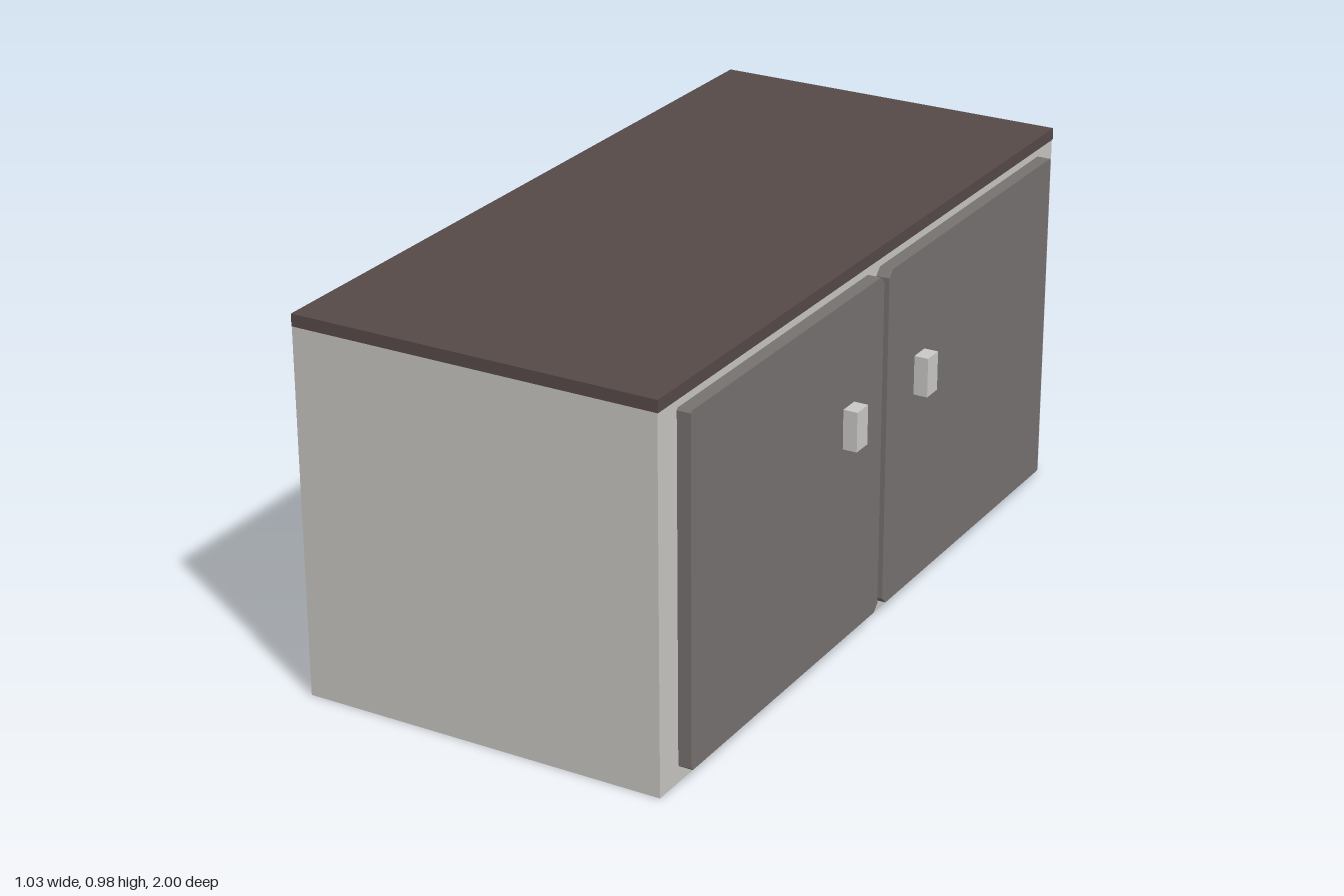
import * as THREE from 'three';

const mat = (name, color) => {
  const m = new THREE.MeshStandardMaterial({ color });
  m.name = name;
  return m;
};

// Box given by its minimum and maximum corners
function box(name, material, min, max) {
  const size = max.map((v, i) => v - min[i]);
  const mesh = new THREE.Mesh(new THREE.BoxGeometry(...size), material);
  mesh.position.set(...max.map((v, i) => (v + min[i]) / 2));
  mesh.name = name;
  return mesh;
}

// Door panel: larger corner cuts on the meeting edge, tiny ones on the outer edge
function doorGeometry(side) {
  const inner = 0.013, outer = 0.918, y0 = 0.04, y1 = 0.925, c = 0.018, d = 0.005;
  const points = [
    [inner + c, y0], [outer - d, y0], [outer, y0 + d], [outer, y1 - d],
    [outer - d, y1], [inner + c, y1], [inner, y1 - c], [inner, y0 + c],
  ].map(([z, y]) => new THREE.Vector2(-side * z, y));
  const geo = new THREE.ExtrudeGeometry(new THREE.Shape(points), { depth: 0.035, bevelEnabled: false });
  // turn the panel to face +x
  geo.rotateY(Math.PI / 2);
  geo.translate(0.443, 0, 0);
  return geo;
}

export function createModel() {
  const group = new THREE.Group();
  group.name = 'cabinet';
  const bodyGrey = mat('light grey', 0xc9c7c2);
  const topBrown = mat('dark brown', 0x574a49);
  const doorGrey = mat('mid grey', 0x767270);
  const handleGrey = mat('handle grey', 0xcac9c7);

  // Carcass and worktop
  group.add(box('body', bodyGrey, [-0.515, 0, -0.999], [0.443, 0.945, 0.999]));
  group.add(box('worktop', topBrown, [-0.515, 0.945, -1], [0.445, 0.976, 1]));

  // Pair of doors with handles
  for (const side of [1, -1]) {
    const label = side > 0 ? 'front' : 'back';
    const door = new THREE.Mesh(doorGeometry(side), doorGrey);
    door.name = label + 'Door';
    group.add(door);
    const z = side * 0.184;
    group.add(box(label + 'Handle', handleGrey, [0.478, 0.553, z - 0.027], [0.515, 0.655, z + 0.027]));
  }
  return group;
}
